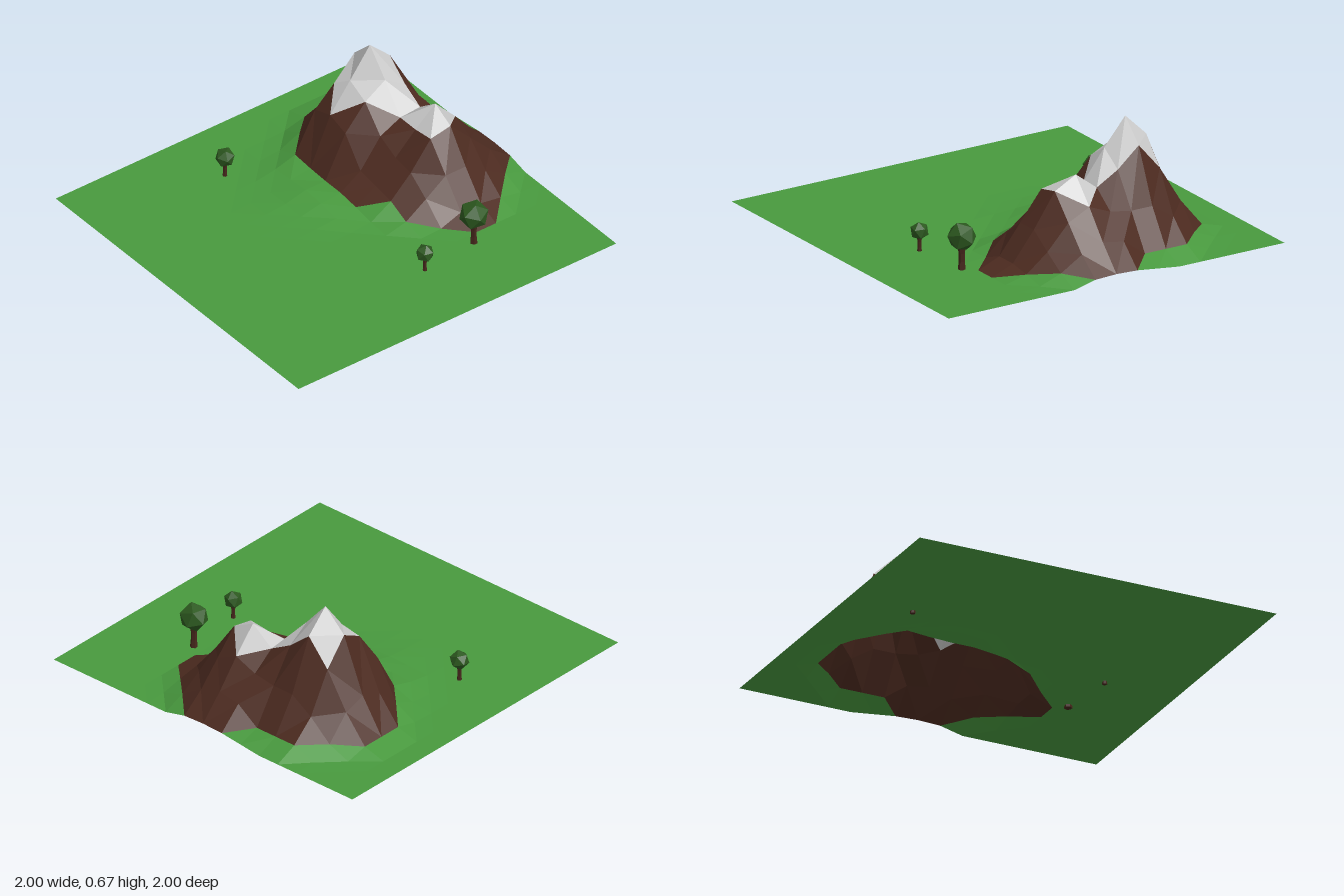
import * as THREE from 'three';

const STEP = 0.125, BASE = 0.015;

// Terrain heights in hundredths: rows z = -1 ... 0.25, columns x = -0.875 ... 0.5
const HEIGHTS = [
  [1.5, 1.5, 1.5, 1.5, 1.5, 3, 4.5, 5, 4.5, 1.5, 1.5, 1.5],
  [1.5, 1.5, 2, 7, 7, 7, 16, 18, 14, 6.5, 2, 1.5],
  [1.5, 2, 7, 18, 26, 26, 28, 33, 27, 14, 4.5, 1.5],
  [1.5, 5, 20, 40, 54.5, 44, 37, 46.5, 40, 22, 6.5, 1.5],
  [1.5, 5, 24, 54.5, 66.5, 52, 36, 36, 37.5, 22, 6.5, 1.5],
  [1.5, 5, 20, 45, 50, 44, 30, 24, 22, 13, 2, 1.5],
  [1.5, 2, 8.5, 30, 34, 30, 14, 12, 10, 4.5, 1.5, 1.5],
  [1.5, 1.5, 3, 7.5, 6.5, 6, 6, 4.5, 2.5, 1.5, 1.5, 1.5],
  [1.5, 1.5, 2, 4, 5, 6, 5, 3, 1.5, 1.5, 1.5, 1.5],
  [1.5, 1.5, 1.5, 2, 2.5, 3, 2.5, 2, 1.5, 1.5, 1.5, 1.5],
  [1.5, 1.5, 1.5, 1.5, 1.8, 2, 1.8, 1.5, 1.5, 1.5, 1.5, 1.5],
];

// Outlines in plan (x, z) of the bare rock and of the snow caps
const ROCK = [[-0.125, -1], [0.125, -1], [0.5, -0.625], [0.5, -0.5], [0.25, -0.25], [0.125, -0.25],
  [0, -0.125], [-0.5, -0.125], [-0.75, -0.375], [-0.75, -0.625], [-0.5, -0.875], [-0.25, -0.875]];
const SNOW = [[-0.5, -0.625], [-0.125, -0.625], [0, -0.75], [0.125, -0.625], [0.125, -0.5],
  [-0.125, -0.5], [-0.375, -0.25], [-0.5, -0.375]];

function inside(poly, x, z) {
  let hit = false;
  poly.forEach(([ax, az], i) => {
    const [bx, bz] = poly[(i + 1) % poly.length];
    if ((az > z) !== (bz > z) && x < ax + (bx - ax) * (z - az) / (bz - az)) hit = !hit;
  });
  return hit;
}

function terrainPoint([x, z]) {
  const h = HEIGHTS[Math.round((z + 1) / STEP)]?.[Math.round((x + 0.875) / STEP)];
  // one corner of the main peak is pulled in towards the front ridge
  if (x === -0.5 && z === -0.375) return [-0.46, h / 100, -0.34];
  return [x, h === undefined ? BASE : h / 100, z];
}

function material(color, side = THREE.FrontSide) {
  return new THREE.MeshStandardMaterial({ color, flatShading: true, side });
}

function createTerrain() {
  const parts = { meadow: [], rock: [], snow: [] };
  const addFace = (...corners) => {
    const cx = corners.reduce((s, p) => s + p[0], 0) / 3;
    const cz = corners.reduce((s, p) => s + p[1], 0) / 3;
    const name = inside(SNOW, cx, cz) ? 'snow' : inside(ROCK, cx, cz) ? 'rock' : 'meadow';
    corners.forEach((p) => parts[name].push(...terrainPoint(p)));
  };
  for (let x = -1; x < 1; x += STEP) {
    for (let z = -1; z < 1; z += STEP) {
      const a = [x, z], b = [x + STEP, z], c = [x, z + STEP], d = [x + STEP, z + STEP];
      // the diagonals run around the mountain
      const rising = z < -0.5 ? x < 0 : x >= -0.375;
      if (rising) { addFace(a, c, b); addFace(b, c, d); }
      else { addFace(a, c, d); addFace(a, d, b); }
    }
  }
  const colors = { meadow: 0x48993e, rock: 0x4d2b20, snow: 0xcccccc };
  const terrain = new THREE.Group();
  terrain.name = 'terrain';
  for (const [name, points] of Object.entries(parts)) {
    const geometry = new THREE.BufferGeometry();
    geometry.setAttribute('position', new THREE.Float32BufferAttribute(points, 3));
    geometry.computeVertexNormals();
    const mesh = new THREE.Mesh(geometry, material(colors[name], THREE.DoubleSide));
    mesh.name = name;
    terrain.add(mesh);
  }
  return terrain;
}

// Tree with a waisted trunk and a faceted crown
function createTree(x, z, crownY, radius, turn) {
  const tree = new THREE.Group();
  tree.name = 'tree';
  const profile = [[0, 0], [0.27, 0], [0.2, 0.4], [0.2, 0.7], [0.28, 1], [0, 1]]
    .map(([r, y]) => new THREE.Vector2(r * radius, y * (crownY - radius * 0.6)));
  const trunk = new THREE.Mesh(new THREE.LatheGeometry(profile, 6), material(0x45261b));
  trunk.name = 'trunk';
  const crown = new THREE.Mesh(new THREE.IcosahedronGeometry(radius), material(0x2c581f));
  crown.name = 'crown';
  crown.position.y = crownY;
  crown.rotation.set(0.25, turn, 0.2);
  tree.add(trunk, crown);
  tree.position.set(x, 0, z);
  return tree;
}

export function createModel() {
  const model = new THREE.Group();
  model.name = 'mountainLandscape';
  model.add(
    createTerrain(),
    createTree(0.56, -0.44, 0.19, 0.078, 0.4),
    createTree(0.595, -0.105, 0.122, 0.049, 1.1),
    createTree(-0.64, 0.21, 0.13, 0.052, 0.2),
  );
  return model;
}
